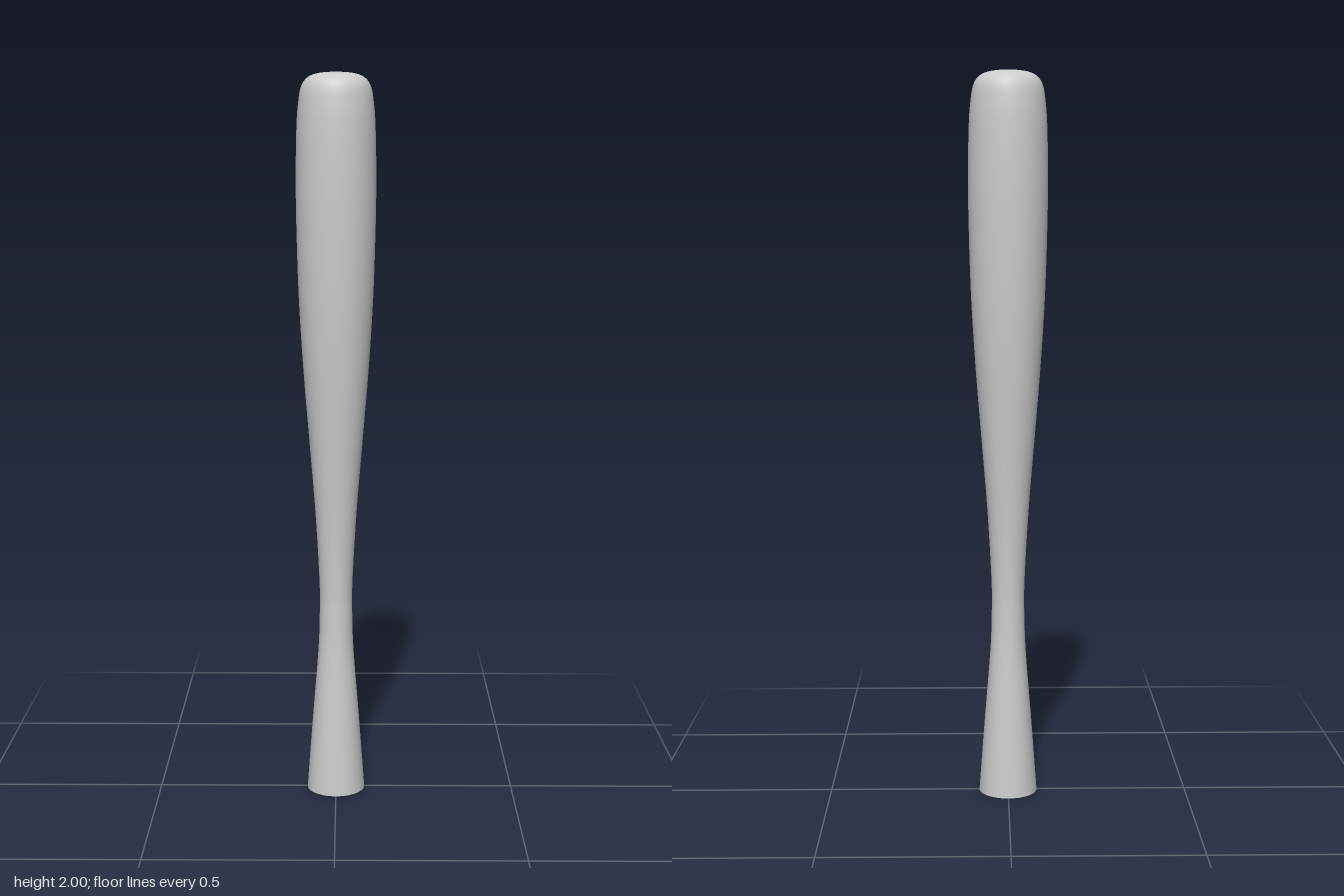
import * as THREE from 'three';

const SIDES = 64;

export function createModel() {
  const group = new THREE.Group();
  group.name = 'bat';
  const material = new THREE.MeshStandardMaterial({ color: 0xcccccc });

  // Turned body: flared handle end, slim grip, swelling barrel
  const side = new THREE.SplineCurve([
    [0.081, 0], [0.066, 0.2], [0.05, 0.4], [0.046, 0.5], [0.046, 0.6],
    [0.057, 0.8], [0.073, 1.0], [0.089, 1.2], [0.101, 1.4], [0.107, 1.6],
    [0.108, 1.74], [0.105, 1.87], [0.099, 1.935],
  ].map(([r, y]) => new THREE.Vector2(r, y))).getPoints(72);

  // Rounded shoulder and nearly flat tip
  const tip = new THREE.CubicBezierCurve(
    new THREE.Vector2(0.099, 1.935), new THREE.Vector2(0.092, 1.985),
    new THREE.Vector2(0.075, 2), new THREE.Vector2(0, 2),
  ).getPoints(20);
  tip[tip.length - 1].x = 0;

  const body = new THREE.Mesh(
    new THREE.LatheGeometry([...side, ...tip.slice(1)], SIDES), material);
  body.name = 'body';
  group.add(body);

  // Flat disc closing the handle end with a sharp rim
  const base = new THREE.Mesh(new THREE.CircleGeometry(0.081, SIDES), material);
  base.name = 'handleEnd';
  base.rotation.x = Math.PI / 2;
  group.add(base);

  return group;
}
